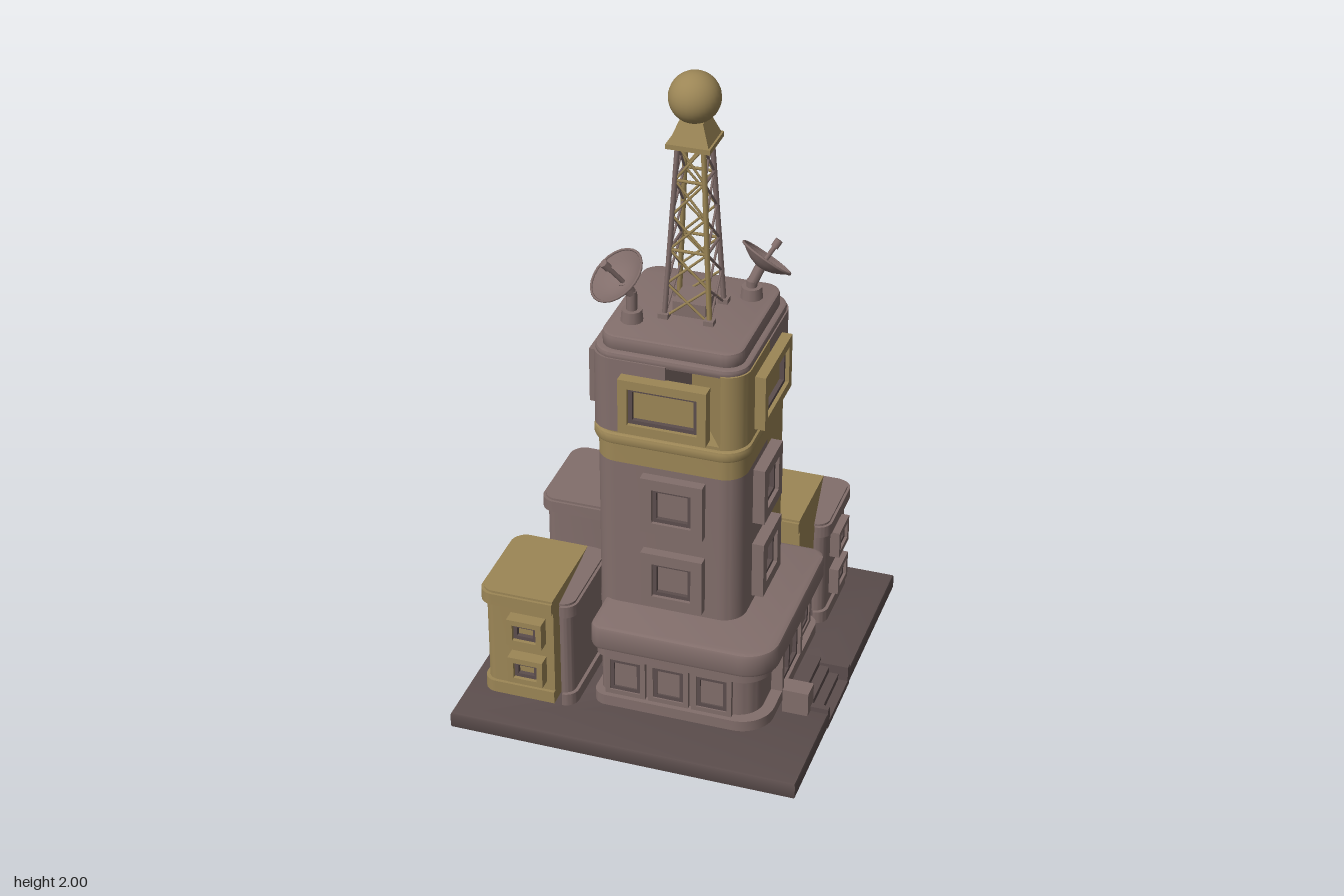
import * as THREE from 'three';
import { toCreasedNormals } from 'three/addons/utils/BufferGeometryUtils.js';

const mat = (color) => new THREE.MeshStandardMaterial({ color, side: THREE.DoubleSide });
const MAUVE = mat(0x826e6b), TAN = mat(0x9c8656), DARK = mat(0x5c4e4d);
const V = (x, y, z) => new THREE.Vector3(x, y, z);

function add(parent, name, geo, material) {
  const mesh = new THREE.Mesh(geo, material);
  mesh.name = name;
  parent.add(mesh);
  return mesh;
}

// Rounded plan outline; radii in order (-x+z), (+x+z), (+x-z), (-x-z)
function plan(x0, x1, z0, z1, r) {
  const [a, b, c, d] = Array.isArray(r) ? r : [r, r, r, r];
  const s = new THREE.Shape();
  const corner = (x, y, rad, start) => (rad > 0
    ? s.absarc(x, y, rad, start, start + Math.PI / 2, false) : s.lineTo(x, y));
  s.moveTo(x0 + a, -z1);
  corner(x1 - b, -z1 + b, b, -Math.PI / 2);
  corner(x1 - c, -z0 - c, c, 0);
  corner(x0 + d, -z0 - d, d, Math.PI / 2);
  if (a > 0) corner(x0 + a, -z1 + a, a, Math.PI);
  return s;
}

// Upright extrusion of a plan from y0 to y1
function rise(parent, name, shape, y0, y1, material, b = 0) {
  const g = new THREE.ExtrudeGeometry(shape, {
    depth: y1 - y0 - 2 * b, curveSegments: 6, bevelEnabled: b > 0,
    bevelThickness: b, bevelSize: b, bevelOffset: -b, bevelSegments: 2,
  });
  g.translate(0, 0, b).rotateX(-Math.PI / 2).translate(0, y0, 0);
  return add(parent, name, toCreasedNormals(g, 0.6), material);
}
const block = (parent, name, x0, x1, z0, z1, y0, y1, r, material, b) =>
  rise(parent, name, plan(x0, x1, z0, z1, r), y0, y1, material, b);

function box(parent, name, x0, x1, y0, y1, z0, z1, material) {
  const g = new THREE.BoxGeometry(x1 - x0, y1 - y0, z1 - z0);
  g.translate((x0 + x1) / 2, (y0 + y1) / 2, (z0 + z1) / 2);
  return add(parent, name, g, material);
}

// Rectangular ring lying on the local xy plane
function ring(w, h, t, depth) {
  const rect = (P, a, b) => new P([[-a, -b], [a, -b], [a, b], [-a, b]].map(([x, y]) => new THREE.Vector2(x, y)));
  const s = rect(THREE.Shape, w / 2, h / 2);
  s.holes.push(rect(THREE.Path, w / 2 - t, h / 2 - t));
  return new THREE.ExtrudeGeometry(s, { depth, bevelEnabled: false });
}

// Framed window on a wall; turn counts quarter turns from +z towards +x
function windowUnit(parent, name, pos, turn, w, h, depth, material, t = 0.035) {
  const g = new THREE.Group();
  g.name = name;
  g.position.set(...pos);
  g.rotation.y = turn * Math.PI / 2;
  add(g, 'windowSurround', ring(w, h, t, depth), material);
  add(g, 'windowFrame', ring(w - 2 * t, h - 2 * t, 0.012, depth * 0.7), DARK);
  const iw = w / 2 - t, ih = h / 2 - t;
  box(g, 'windowPane', -iw, iw, -ih, ih, 0, depth * 0.35, material);
  parent.add(g);
}

function rod(parent, name, a, b, r, material, sides = 5) {
  const m = add(parent, name, new THREE.CylinderGeometry(r, r, a.distanceTo(b), sides), material);
  m.position.copy(a).lerp(b, 0.5);
  m.quaternion.setFromUnitVectors(V(0, 1, 0), b.clone().sub(a).normalize());
}

// Small annex, split into two tints at xs
function annex(parent, name, x0, x1, z0, z1, xs, left, right) {
  const g = new THREE.Group();
  g.name = name;
  const layer = (part, inset, y0, y1, r) => {
    const a = x0 + inset, b = x1 - inset, c = z0 + inset, d = z1 - inset;
    if (left === right) return block(g, part, a, b, c, d, y0, y1, r, left);
    block(g, part, a, xs, c, d, y0, y1, [r, 0, 0, r], left);
    block(g, part, xs, b, c, d, y0, y1, [0, r, r, 0], right);
  };
  layer('annexPlinth', 0.005, 0.05, 0.095, 0.04);
  layer('annexWalls', 0.015, 0.095, 0.38, 0.035);
  layer('annexRoof', 0, 0.38, 0.418, 0.045);
  layer('annexRoofTop', 0.008, 0.418, 0.425, 0.04);
  parent.add(g);
  return g;
}

function dish(parent, name, x, y, z, n, r) {
  const g = new THREE.Group();
  g.name = name;
  const dir = V(...n).normalize();
  const profile = [0, 0.25, 0.5, 0.75, 1].map((k) => new THREE.Vector2(k * r, 0.035 * k * k - 0.02));
  const bowl = new THREE.Group();
  bowl.position.set(x, y, z);
  bowl.quaternion.setFromUnitVectors(V(0, 1, 0), dir);
  add(bowl, 'dishBowl', new THREE.LatheGeometry(profile, 24), MAUVE);
  add(bowl, 'dishRim', new THREE.TorusGeometry(r, 0.004, 6, 24).rotateX(Math.PI / 2).translate(0, 0.015, 0), MAUVE);
  rod(bowl, 'dishFeed', V(0, -0.02, 0), V(0, 0.06, 0), 0.007, MAUVE, 8);
  add(bowl, 'dishReceiver', new THREE.CylinderGeometry(0.012, 0.012, 0.025, 10).translate(0, 0.065, 0), MAUVE);
  g.add(bowl);
  // Pedestal stands below the back of the bowl
  const px = x - dir.x * 0.06, pz = z - dir.z * 0.06;
  add(g, 'dishFoot', new THREE.CylinderGeometry(0.03, 0.034, 0.04, 12).translate(px, 1.265, pz), MAUVE);
  rod(g, 'dishPost', V(px, 1.25, pz), V(px, y - 0.05, pz), 0.016, MAUVE, 10);
  rod(g, 'dishBracket', V(px, y - 0.06, pz), V(x, y, z).addScaledVector(dir, -0.018), 0.016, MAUVE, 8);
  parent.add(g);
}

export function createModel() {
  const root = new THREE.Group();
  root.name = 'antennaTower';

  // Base slab with a notch for the stairs
  const slab = new THREE.Shape([[-0.54, -0.555], [0.535, -0.555], [0.535, -0.2], [0.41, -0.2],
    [0.41, 0.03], [0.535, 0.03], [0.535, 0.56], [-0.54, 0.56]].map(([x, y]) => new THREE.Vector2(x, y)));
  rise(root, 'baseSlab', slab, 0, 0.055, DARK, 0.008);
  for (let i = 0; i < 4; i++) box(root, 'step', 0.40, 0.535 - i * 0.03, i * 0.02, (i + 1) * 0.02, -0.03, 0.19, DARK);
  for (const z of [-0.035, 0.185]) box(root, 'stairCheek', 0.40, 0.535, 0, 0.07, z, z + 0.02, DARK);
  box(root, 'stairPier', 0.40, 0.48, 0.04, 0.135, 0.175, 0.235, MAUVE);

  // Entrance podium
  block(root, 'podiumPlinth', -0.155, 0.385, -0.22, 0.37, 0.05, 0.09, [0.04, 0.1, 0.05, 0.02], MAUVE);
  block(root, 'podiumWalls', -0.14, 0.35, -0.22, 0.34, 0.09, 0.25, [0.03, 0.08, 0.04, 0], MAUVE);
  block(root, 'podiumCornice', -0.15, 0.38, -0.22, 0.365, 0.23, 0.27, [0.04, 0.09, 0.04, 0], MAUVE);
  block(root, 'podiumRoof', -0.16, 0.405, -0.22, 0.385, 0.265, 0.345, [0.04, 0.1, 0.05, 0.02], MAUVE, 0.012);
  for (const x of [-0.055, 0.08, 0.215]) windowUnit(root, 'podiumWindow', [x, 0.16, 0.34], 0, 0.125, 0.14, 0.015, MAUVE, 0.015);
  windowUnit(root, 'podiumWindow', [0.35, 0.16, -0.12], 1, 0.13, 0.14, 0.015, MAUVE, 0.015);
  windowUnit(root, 'entranceDoor', [0.35, 0.155, 0.08], 1, 0.21, 0.16, 0.035, MAUVE, 0.018);
  box(root, 'doorMullion', 0.35, 0.375, 0.08, 0.23, 0.074, 0.086, DARK);

  // Rear link block
  block(root, 'linkWalls', -0.145, 0.03, -0.345, -0.21, 0.05, 0.29, 0, MAUVE);
  block(root, 'linkWalls', 0.03, 0.11, -0.345, -0.21, 0.05, 0.29, 0, TAN);
  block(root, 'linkRoof', -0.155, 0.03, -0.36, -0.21, 0.28, 0.335, 0, MAUVE);
  block(root, 'linkRoof', 0.03, 0.11, -0.36, -0.21, 0.28, 0.335, 0, TAN);

  // Annexes and their windows
  const rear = annex(root, 'rearAnnex', -0.495, -0.19, -0.425, -0.10, 0, MAUVE, MAUVE);
  const front = annex(root, 'frontAnnex', -0.495, -0.19, 0.095, 0.42, -0.26, TAN, MAUVE);
  const side = annex(root, 'sideAnnex', 0.10, 0.405, -0.505, -0.22, 0.31, TAN, MAUVE);
  for (const y of [0.172, 0.31]) {
    windowUnit(rear, 'annexWindow', [-0.34, y, -0.41], 2, 0.11, 0.09, 0.04, MAUVE, 0.018);
    windowUnit(front, 'annexWindow', [-0.34, y, 0.405], 0, 0.11, 0.09, 0.04, TAN, 0.018);
    windowUnit(side, 'annexWindow', [0.39, y, -0.355], 1, 0.11, 0.09, 0.03, MAUVE, 0.018);
  }

  // Tower shaft, its collar and the overhanging top storey
  const cx = 0.037, R = 0.07;
  const L = -0.19, E = 0.264;
  block(root, 'shaftFront', L, E, -0.02, 0.235, 0.05, 0.84, [R, R, 0, 0], MAUVE);
  block(root, 'shaftRear', L, E, -0.235, -0.02, 0.05, 0.84, [0, 0, R, R], TAN);
  block(root, 'shaftTop', L, E, -0.235, 0.235, 0.84, 0.95, R, TAN);
  block(root, 'collar', L - 0.012, E + 0.012, -0.248, 0.248, 0.905, 0.94, R + 0.01, TAN, 0.008);
  block(root, 'topStoreyRear', L - 0.008, E + 0.008, -0.245, 0, 0.95, 1.19, [0, 0, R, R], MAUVE);
  block(root, 'topStoreyFrontRight', L - 0.008, cx, 0, 0.245, 0.95, 1.19, [R, 0, 0, 0], MAUVE);
  block(root, 'topStoreyFrontLeft', cx, E + 0.008, 0, 0.245, 0.95, 1.19, [0, R, 0, 0], TAN);
  block(root, 'topStoreyEdge', L - 0.004, E + 0.004, -0.24, 0.24, 1.18, 1.208, R, MAUVE, 0.008);
  block(root, 'roofCurb', L + 0.015, E - 0.015, -0.22, 0.22, 1.2, 1.25, 0.055, MAUVE, 0.008);

  // Tower windows, [wall position, quarter turn, tint]
  const upper = [[[cx, 1.06, 0.24], 0, TAN], [[E, 1.06, 0.01], 1, TAN], [[cx, 1.06, -0.235], 2, MAUVE], [[L, 1.06, 0.01], 3, MAUVE]];
  for (const [p, turn, m] of upper) windowUnit(root, 'topWindow', p, turn, 0.265, 0.175, 0.04, m, 0.028);
  for (const y of [0.465, 0.725]) {
    windowUnit(root, 'shaftWindow', [0.06, y, 0.23], 0, 0.19, 0.185, 0.036, MAUVE);
    windowUnit(root, 'shaftWindow', [E - 0.004, y, 0.03], 1, 0.18, 0.185, 0.04, MAUVE);
    windowUnit(root, 'shaftWindow', [0.02, y, -0.23], 2, 0.19, 0.185, 0.036, TAN);
    for (const z of [-0.06, 0.06]) windowUnit(root, 'slitWindow', [L, y, z], 3, 0.08, 0.1, 0.006, MAUVE, 0.012);
  }

  // Lattice mast
  const mast = new THREE.Group();
  mast.name = 'mast';
  mast.position.x = 0.043;
  root.add(mast);
  box(mast, 'mastPlinth', -0.05, 0.05, 1.25, 1.295, -0.05, 0.05, MAUVE);
  const y0 = 1.25, y1 = 1.79, levels = 5;
  const corner = (k, t) => {
    const h = 0.068 - 0.03 * t;
    return V(k === 0 || k === 3 ? h : -h, y0 + (y1 - y0) * t, k < 2 ? h : -h);
  };
  for (let k = 0; k < 4; k++) {
    const n = (k + 1) % 4, tint = k % 2 ? MAUVE : TAN;
    rod(mast, 'mastLeg', corner(k, 0), corner(k, 1), 0.008, tint, 6);
    const f = corner(k, 0);
    box(mast, 'mastFoot', f.x - 0.015, f.x + 0.015, 1.245, 1.265, f.z - 0.015, f.z + 0.015, MAUVE);
    for (let i = 0; i < levels; i++) {
      const a = i / levels, b = (i + 1) / levels;
      rod(mast, 'mastBrace', corner(k, a), corner(n, b), 0.004, tint);
      rod(mast, 'mastBrace', corner(n, a), corner(k, b), 0.004, tint);
      if (i % 2) rod(mast, 'mastRail', corner(k, b), corner(n, b), 0.005, tint);
    }
  }
  // Mast cap and ball
  const cap = new THREE.CylinderGeometry(0.035 * Math.SQRT2, 0.06 * Math.SQRT2, 0.065, 4).toNonIndexed();
  cap.computeVertexNormals();
  add(mast, 'mastCap', cap.rotateY(Math.PI / 4).translate(0, 1.83, 0), TAN);
  box(mast, 'mastCapRim', -0.065, 0.065, 1.785, 1.8, -0.065, 0.065, TAN);
  add(mast, 'mastBall', new THREE.SphereGeometry(0.075, 28, 20).translate(0, 1.925, 0), TAN);

  // Roof dishes
  dish(root, 'frontDish', -0.135, 1.395, 0.14, [-0.45, 0.77, 0.45], 0.088);
  dish(root, 'rearDish', 0.205, 1.355, -0.15, [0.45, 0.77, -0.45], 0.082);
  return root;
}
